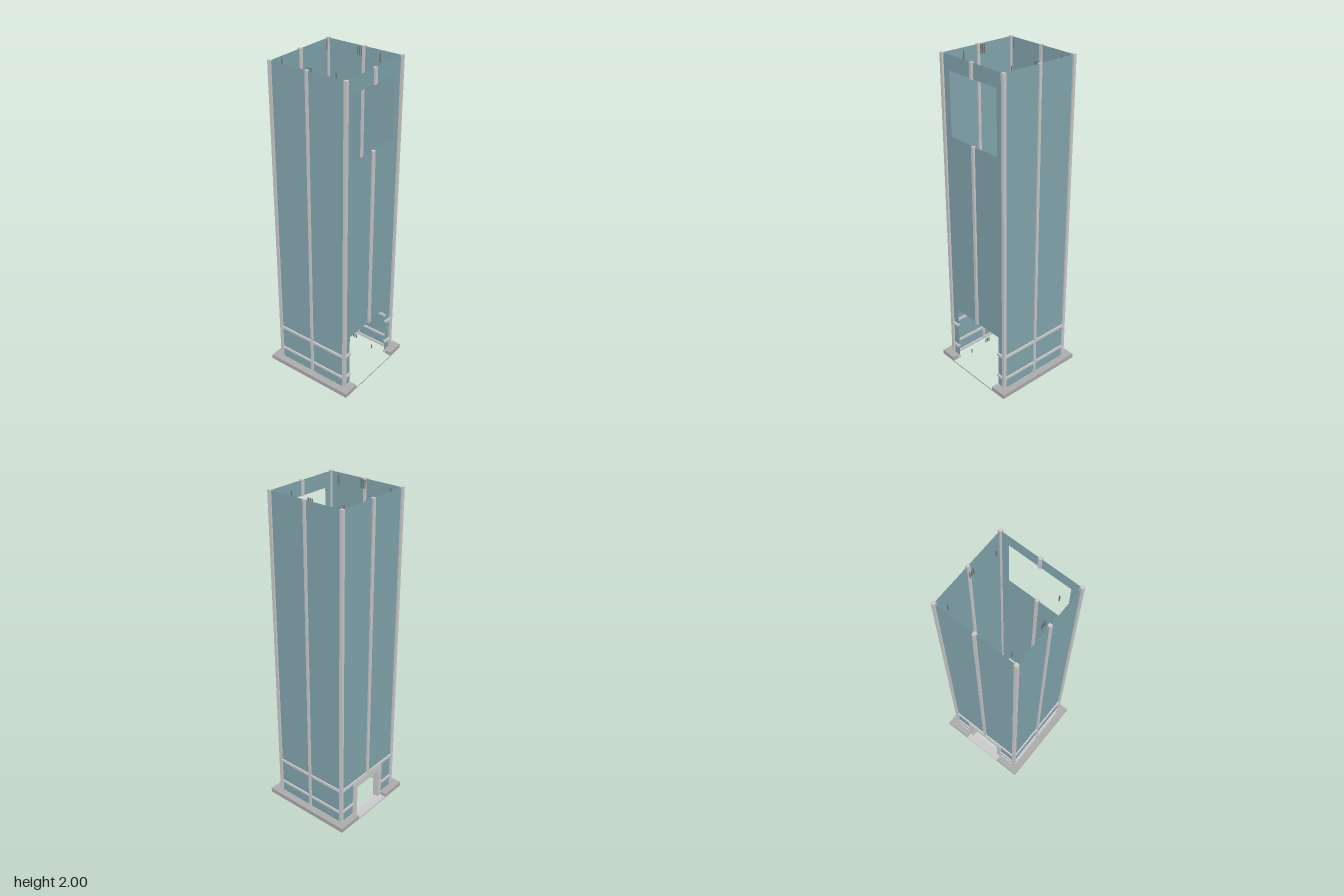
import * as THREE from 'three';

const metal = new THREE.MeshStandardMaterial({ color: 0xcccccc });
const stone = new THREE.MeshStandardMaterial({ color: 0xacacac });
const pinMat = new THREE.MeshStandardMaterial({ color: 0x777777 });
const glass = new THREE.MeshStandardMaterial({ color: 0x84a7b0, side: THREE.DoubleSide });

const C = 0.2425; // centre line of the wall frame
const W = 0.019; // mullion width
const LOW = 0.018; // underside of the frame

// Box given by its minimum and maximum corners
function block(parent, name, x0, x1, y0, y1, z0, z1, mat = metal) {
  const m = new THREE.Mesh(new THREE.BoxGeometry(x1 - x0, y1 - y0, z1 - z0), mat);
  m.position.set((x0 + x1) / 2, (y0 + y1) / 2, (z0 + z1) / 2);
  m.name = name;
  parent.add(m);
  return m;
}

const outline = (pts) => pts.map(([x, y]) => new THREE.Vector2(x, y));

// Thin glass sheet with an optional doorway notch and window hole
function glassWall(name, doorHalf, doorTop, windowPts) {
  const pts = [[-C, LOW]];
  if (doorHalf) pts.push([-doorHalf, LOW], [-doorHalf, doorTop], [doorHalf, doorTop], [doorHalf, LOW]);
  pts.push([C, LOW], [C, 1.997], [-C, 1.997]);
  const shape = new THREE.Shape(outline(pts));
  if (windowPts) shape.holes.push(new THREE.Path(outline(windowPts)));
  const m = new THREE.Mesh(new THREE.ShapeGeometry(shape), glass);
  m.name = name;
  return m;
}

export function createModel() {
  const root = new THREE.Group();
  root.name = 'glassShaft';
  const h = W / 2;

  // Glass walls
  const front = glassWall('frontGlass', 0.188, 0.388,
    [[-0.188, 1.54], [-0.188, 1.91], [0.188, 1.91], [0.188, 1.54]]);
  front.position.z = C;
  const back = glassWall('backGlass', 0.13, 0.262);
  back.position.z = -C - 0.003;
  root.add(front, back);
  for (const s of [-1, 1]) {
    const side = glassWall(s > 0 ? 'leftGlass' : 'rightGlass');
    side.rotation.y = s * Math.PI / 2;
    side.position.x = s * C;
    root.add(side);
  }

  // Corner posts and middle mullions
  const frame = new THREE.Group();
  frame.name = 'frame';
  root.add(frame);
  for (const s of [-1, 1]) {
    for (const z of [-C - 0.003, C + 0.002])
      block(frame, 'cornerPost', s * C - h, s * C + h, LOW, 2, z - h, z + h);
    block(frame, 'sideMullion', s * C - h, s * C + h, LOW, 2, -0.008, 0.008);
  }
  const zb = -C - 0.003, zf = C + 0.002;
  block(frame, 'backMullion', -h, h, 0.262, 2, zb - h, zb + h);
  block(frame, 'frontMullion', -h, h, 0.388, 1.54, zf - h, zf + h);
  block(frame, 'frontMullionTop', -h, h, 1.91, 2, zf - h, zf + h);

  // Horizontal rails: sill, middle and upper
  for (const [y0, y1] of [[LOW, 0.034], [0.103, 0.117], [0.263, 0.279]]) {
    for (const s of [-1, 1]) {
      block(frame, 'sideRail', s * C - h, s * C + h, y0, y1, -C, C);
      const a = [0.188 * s, C * s].sort((p, q) => p - q);
      block(frame, 'frontRail', a[0], a[1], y0, y1, zf - h, zf + h);
      const b = [0.13 * s, C * s].sort((p, q) => p - q);
      block(frame, 'backRail', b[0], b[1], y0, y1, zb - h, zb + h);
    }
  }
  block(frame, 'backLintelRail', -0.13, 0.13, 0.263, 0.279, zb - h, zb + h);

  // Door surround in the back wall
  const surround = new THREE.Shape(outline([[-0.133, LOW], [-0.133, 0.264], [0.133, 0.264], [0.133, LOW],
    [0.105, LOW], [0.105, 0.228], [-0.105, 0.228], [-0.105, LOW]]));
  const portal = new THREE.Mesh(
    new THREE.ExtrudeGeometry(surround, { depth: 0.04, bevelEnabled: false }), metal);
  portal.position.z = -0.258;
  portal.name = 'doorSurround';
  root.add(portal);
  block(root, 'threshold', -0.132, 0.132, 0.012, 0.024, -0.296, -0.236);

  // Base curb, open at the front and back
  const curb = new THREE.Group();
  curb.name = 'baseCurb';
  root.add(curb);
  const b0 = 0.015, b1 = 0.043;
  for (const s of [-1, 1]) {
    const span = (p, q) => (s > 0 ? [p, q] : [-q, -p]);
    block(curb, 'sideCurb', ...span(0.251, 0.293), b0, b1, -0.296, 0.296, stone);
    block(curb, 'frontCurb', ...span(0.188, 0.251), b0, b1, 0.253, 0.296, stone);
    block(curb, 'backCurb', ...span(0.132, 0.251), b0, b1, -0.296, -0.254, stone);
  }
  block(curb, 'frontStrip', -0.188, 0.188, 0.013, 0.019, 0.294, 0.296, stone);

  // Small fixing pins at the top and bottom of the shaft
  const pins = new THREE.Group();
  pins.name = 'fixingPins';
  root.add(pins);
  const spots = [[0.188, -0.212], [0.188, 0.143], [0.212, -0.022], [0.212, -0.009], [0.212, 0.004]];
  for (const s of [-1, 1])
    for (const [x, z] of spots)
      for (const y of [0, 1.95])
        block(pins, 'pin', s * x - 0.003, s * x + 0.003, y, y ? 2 : 0.03, z - 0.002, z + 0.002, pinMat);

  return root;
}
